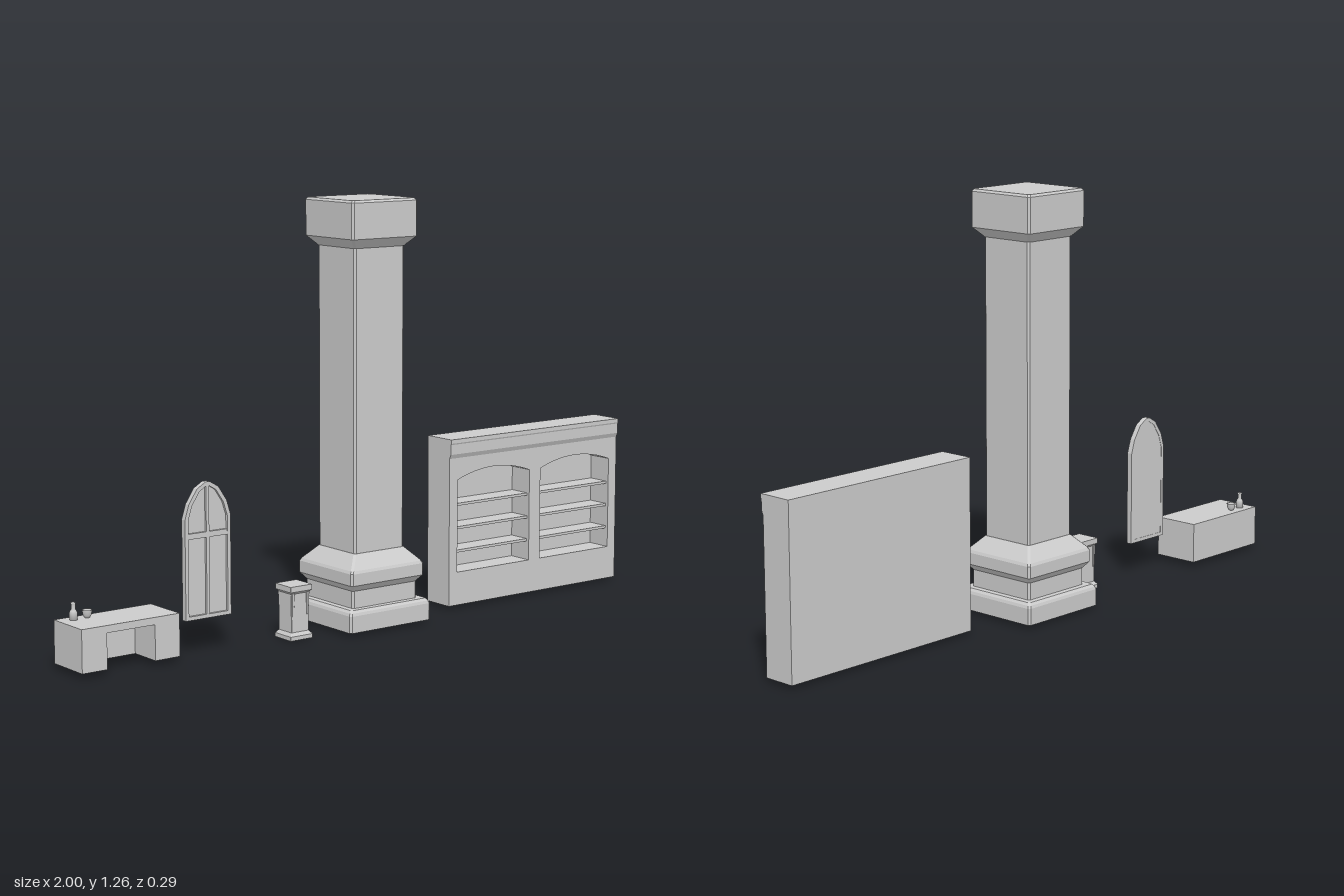
import * as THREE from 'three';

const flat = new THREE.MeshStandardMaterial({ color: 0xcccccc, flatShading: true });
const smooth = new THREE.MeshStandardMaterial({ color: 0xcccccc, side: THREE.DoubleSide });

function add(parent, name, geometry, material = flat) {
  const mesh = new THREE.Mesh(geometry, material);
  mesh.name = name;
  parent.add(mesh);
  return mesh;
}

// Box given by its minimum and maximum corners
function box(parent, name, x0, x1, y0, y1, z0, z1) {
  const mesh = add(parent, name, new THREE.BoxGeometry(x1 - x0, y1 - y0, z1 - z0));
  mesh.position.set((x0 + x1) / 2, (y0 + y1) / 2, (z0 + z1) / 2);
  return mesh;
}

// Closed solid through rectangles with cut corners; levels are [y, halfX, halfZ, cornerCut]
function loft(levels) {
  const rings = levels.map(([y, a, b, c]) => [
    [a, b - c], [a, c - b], [a - c, -b], [c - a, -b],
    [-a, c - b], [-a, b - c], [c - a, b], [a - c, b],
  ].map(([x, z]) => new THREE.Vector3(x, y, z)));
  const points = [];
  const n = 8, top = rings[rings.length - 1], bottom = rings[0];
  for (let r = 0; r < rings.length - 1; r++) {
    for (let i = 0; i < n; i++) {
      const j = (i + 1) % n;
      const lo = rings[r], hi = rings[r + 1];
      points.push(lo[i], lo[j], hi[j], lo[i], hi[j], hi[i]);
    }
  }
  for (let i = 1; i < n - 1; i++) {
    points.push(top[0], top[i], top[i + 1], bottom[0], bottom[i + 1], bottom[i]);
  }
  const geometry = new THREE.BufferGeometry().setFromPoints(points);
  geometry.computeVertexNormals();
  return geometry;
}

function extrude(shape, depth, curveSegments = 12) {
  return new THREE.ExtrudeGeometry(shape, { depth, bevelEnabled: false, curveSegments });
}

function polygon(points) {
  return new THREE.Shape(points.map(([x, y]) => new THREE.Vector2(x, y)));
}

function buildColumn() {
  const group = new THREE.Group();
  group.name = 'column';
  // [y, half width] from foot to top of each section
  const sections = {
    columnBase: [[0.01, 0.144], [0.06, 0.144], [0.068, 0.141], [0.075, 0.134]],
    columnBaseNeck: [[0.07, 0.115], [0.126, 0.115], [0.145, 0.13], [0.18, 0.13], [0.188, 0.126], [0.229, 0.089]],
    columnShaft: [[0.225, 0.088], [1.125, 0.088]],
    columnCapital: [[1.118, 0.09], [1.122, 0.093], [1.146, 0.115], [1.25, 0.115], [1.257, 0.11]],
  };
  for (const [name, levels] of Object.entries(sections)) {
    add(group, name, loft(levels.map(([y, h]) => [y, h * 1.035, h, 0.006])));
  }
  group.position.x = 0.0125;
  return group;
}

function buildBookcase() {
  const group = new THREE.Group();
  group.name = 'bookcase';
  const back = -0.03, front = 0.05;
  const face = polygon([[0.31, 0.01], [0.997, 0.01], [0.997, 0.522], [0.31, 0.522]]);
  for (const [x0, x1] of [[0.342, 0.631], [0.676, 0.965]]) {
    // arched opening
    const hole = new THREE.Path();
    hole.moveTo(x0, 0.112);
    hole.lineTo(x0, 0.396);
    hole.quadraticCurveTo((x0 + x1) / 2, 0.45, x1, 0.396);
    hole.lineTo(x1, 0.112);
    hole.closePath();
    face.holes.push(hole);
    for (const y of [0.174, 0.246, 0.318]) {
      box(group, 'shelf', x0, x1, y - 0.004, y + 0.004, back, front - 0.01);
    }
  }
  add(group, 'bookcaseFace', extrude(face, front - back)).position.z = back;
  box(group, 'bookcaseBack', 0.31, 0.997, 0.01, 0.522, -0.052, back);
  // cornice profile drawn in z and y, swept along x
  const cornice = polygon([[-0.045, 0.463], [-0.05, 0.463], [-0.056, 0.476], [-0.056, 0.506], [-0.058, 0.51], [-0.058, 0.522], [-0.045, 0.522]]);
  const trim = add(group, 'bookcaseCornice', extrude(cornice, 0.687));
  trim.rotation.y = Math.PI / 2;
  trim.position.x = 0.31;
  return group;
}

function buildPedestal() {
  const group = new THREE.Group();
  group.name = 'pedestal';
  const profile = [[0, 0.039], [0.012, 0.039], [0.022, 0.031], [0.135, 0.031], [0.142, 0.038], [0.158, 0.038]];
  add(group, 'pedestalBody', loft(profile.map(([y, h]) => [y, h, h, 0.001])));
  // brackets under the top at each corner
  for (const sx of [-1, 1]) {
    for (const sz of [-1, 1]) {
      const bracket = add(group, 'pedestalBracket', loft([[0.07, 0.003, 0.003, 0.001], [0.137, 0.005, 0.005, 0.001]]));
      bracket.position.set(sx * 0.026, 0, sz * 0.03);
    }
  }
  group.position.set(-0.263, 0, 0.038);
  return group;
}

function buildWindow() {
  const group = new THREE.Group();
  group.name = 'archedWindow';
  // half outline of the pointed arch, inset by d
  const outline = (d) => {
    const side = [[0.077 - d, 0.1 + d], [0.077 - d, 0.388 - d * 0.2], [0.064 - d, 0.43 - d * 0.4],
      [0.036 - d * 0.7, 0.472 - d * 0.8], [0.007 - d * 0.3, 0.489 - d]];
    return [...side, ...side.map(([x, y]) => [-x, y]).reverse()];
  };
  add(group, 'windowPane', extrude(polygon(outline(0.002)), 0.008)).position.z = 0.021;
  const frame = polygon(outline(0));
  frame.holes.push(polygon(outline(0.011)));
  add(group, 'windowFrame', extrude(frame, 0.017)).position.z = 0.02;
  box(group, 'windowMullion', -0.005, 0.005, 0.105, 0.482, 0.025, 0.036);
  box(group, 'windowTransom', -0.07, 0.07, 0.331, 0.347, 0.025, 0.036);
  group.position.x = -0.5585;
  return group;
}

function buildDesk() {
  const group = new THREE.Group();
  group.name = 'desk';
  box(group, 'deskTop', -1, -0.684, 0.118, 0.139, -0.067, 0.078);
  box(group, 'deskPedestal', -1, -0.92, 0.016, 0.118, -0.067, 0.078);
  box(group, 'deskPedestal', -0.765, -0.684, 0.016, 0.118, -0.067, 0.078);
  box(group, 'deskBackPanel', -0.92, -0.765, 0.016, 0.118, -0.067, -0.025);

  const lathe = (name, x, points) => {
    const geometry = new THREE.LatheGeometry(points.map(([r, y]) => new THREE.Vector2(r, y)), 16);
    add(group, name, geometry, smooth).position.set(x, 0.139, -0.035);
  };
  lathe('bottle', -0.957, [[0, 0], [0.011, 0], [0.0115, 0.02], [0.009, 0.026], [0.006, 0.03], [0.006, 0.044], [0.007, 0.045], [0.007, 0.049], [0, 0.049]]);
  lathe('bowl', -0.913, [[0, 0], [0.007, 0], [0.012, 0.008], [0.0145, 0.022], [0.0125, 0.022], [0.01, 0.009], [0, 0.005]]);
  return group;
}

export function createModel() {
  const model = new THREE.Group();
  model.name = 'interiorSet';
  model.add(buildColumn(), buildBookcase(), buildPedestal(), buildWindow(), buildDesk());
  return model;
}
